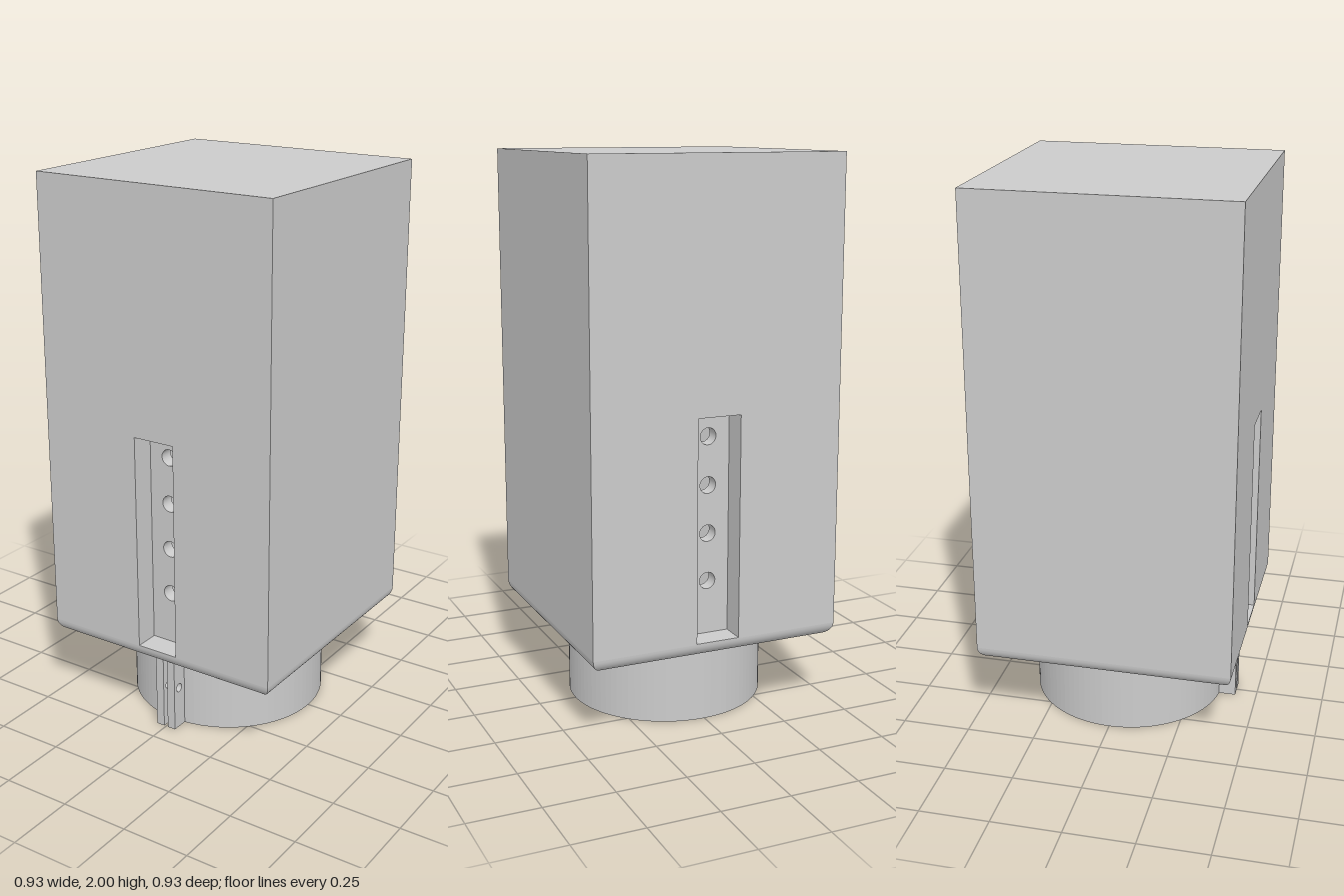
import * as THREE from 'three';

const H = 0.465;                                 // half width of the housing
const BASE = 0.28, FILLET = 0.05, TOP = 2;
const BORE = 0.33, BORE_TOP = 1.9;
const COLLAR = 0.36, SLIT = 0.008;
const SLOT = { w: 0.08, y0: 0.33, y1: 1.13, z: 0.375 };
const HOLES = [0.525, 0.698, 0.871, 1.044];
const GAP = 0.06;                                // half width of the drilled strip in the bore

const grey = new THREE.MeshStandardMaterial({ color: 0xcccccc });
const inside = new THREE.MeshStandardMaterial({ color: 0xcccccc, side: THREE.BackSide, flatShading: true });

function add(parent, name, geometry, material = grey) {
  const mesh = new THREE.Mesh(geometry, material);
  mesh.name = name;
  parent.add(mesh);
  return mesh;
}

function rect(x0, y0, x1, y1) {
  return new THREE.Shape([[x0, y0], [x1, y0], [x1, y1], [x0, y1]].map(p => new THREE.Vector2(...p)));
}

function hole(x, y, r) {
  return new THREE.Path().absarc(x, y, r, 0, Math.PI * 2, true);
}

// Joins four-cornered rings; every side is smooth along its length with sharp corners
function loft(rings) {
  const pos = [], index = [];
  for (let s = 0; s < 4; s++) {
    const start = pos.length / 3;
    rings.forEach(r => pos.push(...r[s], ...r[(s + 1) % 4]));
    for (let i = 0; i < rings.length - 1; i++) {
      const a = start + i * 2;
      index.push(a, a + 1, a + 3, a, a + 3, a + 2);
    }
  }
  const g = new THREE.BufferGeometry();
  g.setAttribute('position', new THREE.Float32BufferAttribute(pos, 3));
  g.setIndex(index);
  g.computeVertexNormals();
  return g;
}

// Outer face with a sunken slot and a row of holes through to the bore
function slottedFace(name) {
  const g = new THREE.Group();
  g.name = name;
  const { w, y0, y1, z } = SLOT;

  const face = rect(-H, BASE + FILLET, H, TOP);
  // slot outline stays a hair inside the lower edge so the shape remains valid
  face.holes.push(rect(-w, y0 + 0.002, w, y1));
  add(g, 'outerFace', new THREE.ShapeGeometry(face).translate(0, 0, H));

  const ring = d => [[-w, y0 + 0.002, d], [-w, y1, d], [w, y1, d], [w, y0 + 0.002, d]];
  add(g, 'slotWalls', loft([ring(z), ring(H)]));

  const strip = rect(-w, BASE + 0.001, w, BORE_TOP);
  HOLES.forEach(y => strip.holes.push(hole(0, y, 0.03)));
  const inner = Math.sqrt(BORE * BORE - GAP * GAP);
  add(g, 'drilledStrip', new THREE.ExtrudeGeometry(strip,
    { depth: z - inner, bevelEnabled: false, curveSegments: 24 }).translate(0, 0, inner));
  return g;
}

export function createModel() {
  const model = new THREE.Group();
  model.name = 'housing';

  // Slotted front and back, plain sides and top
  const front = slottedFace('frontFace');
  const back = slottedFace('backFace');
  back.rotation.y = Math.PI;
  model.add(front, back);

  const sideHeight = TOP - BASE - FILLET;
  for (const s of [1, -1]) {
    add(model, s > 0 ? 'leftFace' : 'rightFace', new THREE.PlaneGeometry(2 * H, sideHeight)
      .rotateY(s * Math.PI / 2).translate(s * H, BASE + FILLET + sideHeight / 2, 0));
  }
  add(model, 'topFace', new THREE.PlaneGeometry(2 * H, 2 * H).rotateX(-Math.PI / 2).translate(0, TOP, 0));

  // Rounded lower edge
  const rings = [];
  for (let i = 0; i <= 10; i++) {
    const a = i / 10 * Math.PI / 2;
    const h = H - FILLET + FILLET * Math.sin(a);
    const y = BASE + FILLET - FILLET * Math.cos(a);
    rings.push([[-h, y, h], [h, y, h], [h, y, -h], [-h, y, -h]]);
  }
  add(model, 'roundedLowerEdge', loft(rings));

  // Underside with the bore opening
  const b = H - FILLET;
  const under = rect(-b, -b, b, b);
  under.holes.push(hole(0, 0, BORE));
  add(model, 'underside', new THREE.ShapeGeometry(under, 48).rotateX(Math.PI / 2).translate(0, BASE, 0));

  // Bore wall in two halves between the drilled strips, and its ceiling
  const gapAngle = Math.asin(GAP / BORE);
  for (const start of [0, Math.PI]) {
    add(model, 'boreWall', new THREE.CylinderGeometry(BORE, BORE, BORE_TOP - BASE, 24, 1, true,
      start + gapAngle, Math.PI - 2 * gapAngle).translate(0, (BORE_TOP + BASE) / 2, 0), inside);
  }
  add(model, 'boreCeiling', new THREE.CircleGeometry(BORE, 48).rotateX(Math.PI / 2).translate(0, BORE_TOP, 0));

  // Split clamp collar
  const collar = new THREE.Shape();
  const go = SLIT / COLLAR, gi = SLIT / BORE;
  collar.absarc(0, 0, COLLAR, -Math.PI / 2 + go, Math.PI * 1.5 - go, false);
  collar.absarc(0, 0, BORE, Math.PI * 1.5 - gi, -Math.PI / 2 + gi, true);
  collar.closePath();
  add(model, 'clampCollar', new THREE.ExtrudeGeometry(collar,
    { depth: BASE, bevelEnabled: false, curveSegments: 48 }).rotateX(-Math.PI / 2));

  // Clamp ears with a cross hole for the screw
  const ear = rect(0.34, 0, 0.42, BASE);
  ear.holes.push(hole(0.39, 0.16, 0.016));
  const earWidth = 0.04 - SLIT;
  for (const s of [1, -1]) {
    add(model, s > 0 ? 'leftClampEar' : 'rightClampEar', new THREE.ExtrudeGeometry(ear,
      { depth: earWidth, bevelEnabled: false, curveSegments: 16 })
      .rotateY(-Math.PI / 2).translate(s > 0 ? 0.04 : -SLIT, 0, 0));
  }
  return model;
}
